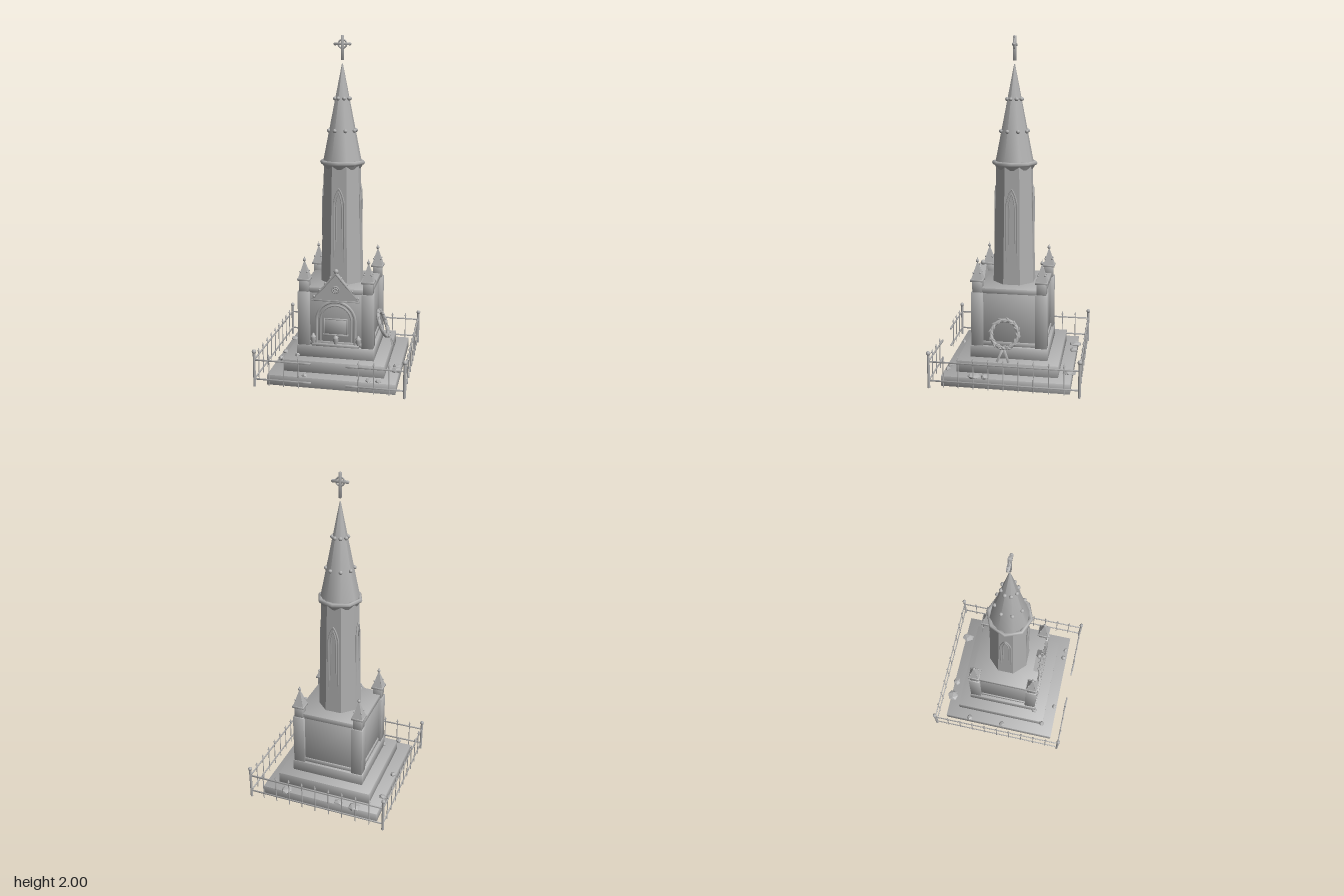
import * as THREE from 'three';

export function createModel() {
  const root = new THREE.Group();
  const stone = new THREE.MeshStandardMaterial({ color: 0xb0b0b0 });
  stone.name = 'grey stone';

  // --- helpers
  const add = (name, geo, x = 0, y = 0, z = 0, parent = root) => {
    const m = new THREE.Mesh(geo, stone);
    m.name = name;
    m.position.set(x, y, z);
    parent.add(m);
    return m;
  };
  const group = (name, x = 0, y = 0, z = 0, parent = root) => {
    const g = new THREE.Group();
    g.name = name;
    g.position.set(x, y, z);
    parent.add(g);
    return g;
  };
  // box whose corner normals lean outward, for softly worn edges
  const box = (w, h, d) => {
    const geo = new THREE.BoxGeometry(w, h, d);
    const { position: p, normal: n } = geo.attributes;
    const soft = (normal, pos) => Math.abs(normal) > 0.5 ? normal : Math.sign(pos) * 0.4;
    for (let i = 0; i < n.count; i++)
      n.setXYZ(i, soft(n.getX(i), p.getX(i)), soft(n.getY(i), p.getY(i)), soft(n.getZ(i), p.getZ(i)));
    geo.normalizeNormals();
    return geo;
  };
  const ball = r => new THREE.SphereGeometry(r, 10, 8);
  const flat = geo => {
    const g = geo.index ? geo.toNonIndexed() : geo;
    g.computeVertexNormals();
    return g;
  };
  const prism = (rTop, rBottom, h, n) => new THREE.CylinderGeometry(rTop, rBottom, h, n).rotateY(Math.PI / n);
  const tube = (pts, r, n = 40) => new THREE.TubeGeometry(
    new THREE.CatmullRomCurve3(pts.map(p => new THREE.Vector3(...p)), false, 'catmullrom', 0.2), n, r, 6);

  // --- stepped base
  [[0.75, 0, 0.06], [0.6, 0.06, 0.13], [0.46, 0.13, 0.2]].forEach(([w, y0, y1]) =>
    add('step', box(w, y1 - y0, w), 0, (y0 + y1) / 2, 0));

  // --- square pedestal with trims
  add('pedestal', box(0.41, 0.35, 0.41), 0, 0.375, 0);
  add('pedestalFoot', box(0.424, 0.025, 0.424), 0, 0.212, 0);
  add('pedestalCornice', box(0.418, 0.03, 0.418), 0, 0.536, 0);

  // --- corner buttresses with pinnacles
  for (const x of [-0.19, 0.19]) for (const z of [-0.19, 0.19]) {
    const g = group('cornerPinnacle', x, 0, z);
    add('buttress', box(0.07, 0.33, 0.07), 0, 0.36, 0, g);
    add('pinnacleBlock', box(0.055, 0.08, 0.055), 0, 0.56, 0, g);
    add('pinnacleEave', box(0.074, 0.012, 0.074), 0, 0.598, 0, g);
    add('pinnacleRoof', flat(prism(0.004, 0.047, 0.1, 4)), 0, 0.652, 0, g);
    add('pinnacleFinial', ball(0.01), 0, 0.711, 0, g);
    add('pinnacleTip', new THREE.ConeGeometry(0.005, 0.02, 6), 0, 0.725, 0, g);
    for (const i of [-1, 1]) for (const j of [-1, 1])
      add('pinnacleCrocket', ball(0.006), i * 0.021, 0.642, j * 0.021, g);
  }

  // --- front portal: gable, arch, plaque
  const portal = group('portal');
  const gable = new THREE.Shape([[-0.14, 0.475], [0.14, 0.475], [0, 0.64]].map(p => new THREE.Vector2(...p)));
  add('gable', new THREE.ExtrudeGeometry(gable, { depth: 0.041, bevelEnabled: false }), 0, 0, 0.174, portal);
  add('gableFinial', ball(0.015), 0, 0.65, 0.195, portal);
  add('gableFoot', box(0.285, 0.008, 0.012), 0, 0.477, 0.212, portal);
  for (const s of [-1, 1]) {
    add('gableEdge', tube([[s * 0.142, 0.475, 0.212], [0, 0.642, 0.212]], 0.007, 2), 0, 0, 0, portal);
    for (const t of [0.08, 0.32, 0.56, 0.78])
      add('gableCrocket', ball(0.008), s * 0.142 * (1 - t), 0.484 + 0.167 * t, 0.206, portal);
  }
  add('rosette', new THREE.TorusGeometry(0.02, 0.004, 6, 20), 0, 0.545, 0.216, portal);
  for (let i = 0; i < 6; i++) {
    const a = i * Math.PI / 3;
    add('rosettePetal', ball(0.006), Math.cos(a) * 0.01, 0.545 + Math.sin(a) * 0.01, 0.215, portal);
  }
  const archPoints = (r, y0, spring, z) => {
    const pts = [[-r, y0, z]];
    for (let i = 0; i <= 12; i++) {
      const a = Math.PI * (1 - i / 12);
      pts.push([r * Math.cos(a), spring + r * Math.sin(a), z]);
    }
    return [...pts, [r, y0, z]];
  };
  add('outerArch', tube(archPoints(0.115, 0.21, 0.355, 0.207), 0.009, 60), 0, 0, 0, portal);
  add('innerArch', tube(archPoints(0.092, 0.21, 0.355, 0.205), 0.006, 60), 0, 0, 0, portal);
  add('plaque', box(0.13, 0.09, 0.01), 0, 0.318, 0.208, portal);
  add('plaqueLedge', box(0.15, 0.008, 0.018), 0, 0.269, 0.21, portal);
  for (const s of [-1, 1]) {
    add('plaqueSide', box(0.006, 0.1, 0.016), s * 0.067, 0.318, 0.21, portal);
    add('plaqueEdge', box(0.14, 0.006, 0.016), 0, 0.318 + s * 0.047, 0.21, portal);
  }
  add('sill', box(0.28, 0.014, 0.035), 0, 0.207, 0.212, portal);

  // --- vases on the sill
  const vase = new THREE.LatheGeometry([[0, 0], [0.013, 0], [0.008, 0.008], [0.018, 0.025], [0.014, 0.04],
    [0.018, 0.045], [0.01, 0.052], [0.006, 0.062], [0, 0.066]].map(p => new THREE.Vector2(...p)), 14);
  for (const x of [-0.135, 0, 0.135]) add('vase', vase, x, 0.208, 0.213);

  // --- octagonal shaft with lancet mouldings
  add('shaft', flat(prism(0.111, 0.131, 0.72, 8)), 0, 0.91, 0);
  const lancet = w => [[-w, 0.58, 0], [-w, 1.02, 0], [-w * 0.85, 1.06, 0], [-w * 0.5, 1.095, 0], [0, 1.125, 0],
    [w * 0.5, 1.095, 0], [w * 0.85, 1.06, 0], [w, 1.02, 0], [w, 0.58, 0]];
  for (let i = 0; i < 4; i++) {
    const g = group('lancetWindow');
    g.rotation.y = i * Math.PI / 2;
    add('lancetOuter', tube(lancet(0.031), 0.005, 60), 0, 0, 0.113, g);
    const inner = add('lancetInner', tube(lancet(0.018), 0.004, 60), 0, 0.03, 0.112, g);
    inner.scale.y = 0.95;
  }

  // --- cornice ring and spire
  add('corniceFlare', new THREE.CylinderGeometry(0.13, 0.108, 0.035, 8), 0, 1.25, 0);
  add('corniceRing', new THREE.TorusGeometry(0.122, 0.014, 6, 8).rotateX(Math.PI / 2), 0, 1.268, 0);
  add('spire', prism(0.003, 0.116, 0.565, 8), 0, 1.5575, 0);
  for (const [y, r] of [[1.455, 0.082], [1.64, 0.045]]) for (let i = 0; i < 8; i++) {
    const a = (i + 0.5) * Math.PI / 4;
    add('spireCrocket', ball(0.0115), Math.cos(a) * r, y, Math.sin(a) * r);
  }

  // --- cross
  const cross = group('cross', 0, 1.95, 0);
  add('crossPost', box(0.014, 0.14, 0.018), 0, -0.02, 0, cross);
  add('crossArm', box(0.09, 0.014, 0.018), 0, 0, 0, cross);
  add('crossRing', new THREE.TorusGeometry(0.024, 0.005, 6, 20), 0, 0, 0, cross);
  for (const [x, y] of [[-0.043, 0], [0.043, 0], [0, 0.042]]) add('crossKnob', ball(0.009), x, y, 0, cross);

  // --- iron fence, open at the front middle
  const F = 0.432;
  const bar = new THREE.CylinderGeometry(0.003, 0.003, 0.17, 6);
  const spike = new THREE.ConeGeometry(0.007, 0.024, 6);
  for (let side = 0; side < 4; side++) {
    const g = group('fenceSide');
    g.rotation.y = side * Math.PI / 2;
    add('fencePost', new THREE.CylinderGeometry(0.008, 0.008, 0.21, 8), F, 0.115, F, g);
    add('fencePostKnob', ball(0.013), F, 0.22, F, g);
    for (const y of [0.055, 0.17]) {
      if (side) add('fenceRail', box(2 * F, 0.008, 0.006), 0, y, F, g);
      else for (const s of [-1, 1]) {
        add('fenceRail', box(0.332, 0.008, 0.006), s * 0.266, y, F, g);
        add('railEnd', box(0.07, 0.01, 0.01), s * 0.135, y, F, g);
      }
    }
    for (let i = -4; i <= 4; i++) {
      if (!side && Math.abs(i) < 2) continue;
      add('fenceBar', bar, i * 0.0864, 0.105, F, g);
      add('fenceSpike', spike, i * 0.0864, 0.2, F, g);
    }
  }

  // --- wreath leaning on the left face, with ribbon
  const wreath = group('wreath', 0.253, 0.292, 0.02);
  wreath.rotation.y = Math.PI / 2;
  const lean = group('wreathLean', 0, 0, 0, wreath);
  lean.rotation.x = -0.38;
  add('wreathRing', new THREE.TorusGeometry(0.08, 0.011, 8, 32), 0, 0, 0, lean);
  const leaf = new THREE.SphereGeometry(1, 6, 4).scale(0.006, 0.016, 0.005);
  for (let i = 0; i < 36; i++) {
    const a = i * Math.PI / 18, k = i % 3 - 1;
    const m = add('wreathLeaf', leaf, Math.cos(a) * (0.08 + k * 0.008), Math.sin(a) * (0.08 + k * 0.008), 0.007, lean);
    m.rotation.z = a - k * 0.45;
  }
  add('ribbonKnot', ball(0.009), 0, -0.082, 0.012, lean);
  for (const s of [-1, 1]) {
    const tail = add('ribbonTail', box(0.014, 0.085, 0.004), s * 0.018, -0.122, 0.012, lean);
    tail.rotation.z = s * 0.4;
    const loop = add('ribbonLoop', new THREE.TorusGeometry(0.011, 0.004, 6, 12), s * 0.017, -0.08, 0.014, lean);
    loop.scale.y = 0.6;
  }

  // --- scattered stones: x, z, half width, half depth, height above ground
  [[-0.228, -0.363, 0.038, 0.042, 0.065], [-0.125, -0.36, 0.032, 0.026, 0.065], [0.222, -0.36, 0.034, 0.044, 0.065],
    [-0.36, -0.21, 0.023, 0.02, 0.063], [-0.358, 0.022, 0.02, 0.021, 0.063], [0.357, 0.12, 0.029, 0.024, 0.065],
    [0.358, 0.185, 0.034, 0.04, 0.067], [-0.31, 0.295, 0.018, 0.018, 0.135], [-0.155, 0.356, 0.018, 0.015, 0.062],
    [0.217, 0.354, 0.018, 0.02, 0.062], [0.275, 0.356, 0.019, 0.015, 0.062], [-0.228, 0.225, 0.018, 0.02, 0.135],
  ].forEach(([x, z, rx, rz, y], i) => {
    const rock = new THREE.IcosahedronGeometry(1, 0).rotateY(i * 1.3).rotateX(i * 0.7).scale(rx, 0.016, rz);
    add('looseStone', flat(rock), x, y, z);
  });

  return root;
}
